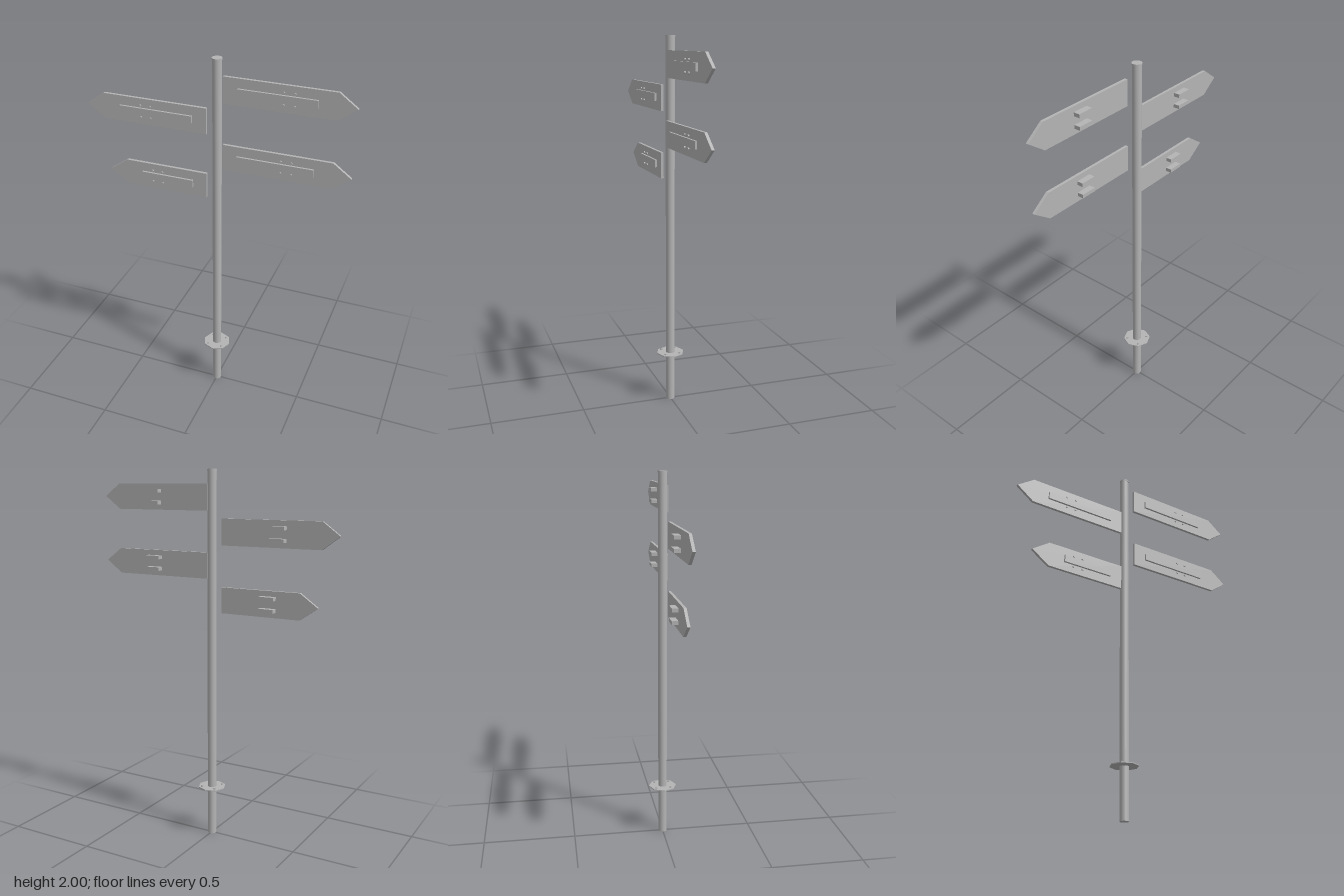
import * as THREE from 'three';

const steel = new THREE.MeshStandardMaterial({ color: 0xb4b4b4 });
steel.name = 'grey steel';

function part(parent, name, geometry, x = 0, y = 0, z = 0) {
  const mesh = new THREE.Mesh(geometry, steel);
  mesh.name = name;
  mesh.position.set(x, y, z);
  parent.add(mesh);
  return mesh;
}

const HALF = 0.069;             // half height of a sign board
const BACK = 0.022, FACE = 0.037; // board back and front in z

// One arrow sign; side is +1 or -1, lengths are measured out from the pole
function sign({ side, y, shoulder, tip, panelEnd, bolts }) {
  const group = new THREE.Group();
  group.name = side > 0 ? 'leftSign' : 'rightSign';
  group.position.y = y;

  // arrow board
  const outline = [[0.044, -HALF], [shoulder, -HALF], [tip, 0], [shoulder, HALF], [0.044, HALF]];
  const shape = new THREE.Shape(outline.map(([x, v]) => new THREE.Vector2(side * x, v)));
  const board = new THREE.ExtrudeGeometry(shape, { depth: FACE - BACK, bevelEnabled: false });
  part(group, 'arrowBoard', board, 0, 0, BACK);

  // raised name panel
  const start = 0.118;
  part(group, 'raisedPanel', new THREE.BoxGeometry(panelEnd - start, 0.04, 0.011),
    side * (start + panelEnd) / 2, 0, FACE + 0.0055);

  // back brackets with two bolt heads each on the front
  for (const v of [-0.031, 0.031]) {
    part(group, 'backBracket', new THREE.BoxGeometry(0.084, 0.019, 0.033), side * bolts, v, 0.0055);
    for (const u of [-0.027, 0.027]) {
      const head = new THREE.CylinderGeometry(0.006, 0.006, 0.007, 8);
      part(group, 'boltHead', head, side * bolts + u, v, FACE + 0.0035).rotation.x = Math.PI / 2;
    }
  }
  return group;
}

export function createModel() {
  const model = new THREE.Group();
  model.name = 'signpost';

  // pole and cap
  part(model, 'pole', new THREE.CylinderGeometry(0.024, 0.024, 1.992, 20), 0, 0.996, 0);
  part(model, 'poleCap', new THREE.CylinderGeometry(0.026, 0.026, 0.008, 20), 0, 1.996, 0);

  // octagonal ground flange with four bolts
  part(model, 'groundFlange', new THREE.CylinderGeometry(0.076, 0.076, 0.005, 8).toNonIndexed(), 0, 0.276, 0)
    .geometry.computeVertexNormals();
  for (const x of [-0.04, 0.04]) {
    for (const z of [-0.04, 0.04]) {
      part(model, 'flangeBolt', new THREE.CylinderGeometry(0.006, 0.006, 0.008, 8), x, 0.282, z);
    }
  }

  // four signs, alternating sides
  const long = { shoulder: 0.603, tip: 0.697, panelEnd: 0.512, bolts: 0.372 };
  const short = { shoulder: 0.493, tip: 0.592, panelEnd: 0.403, bolts: 0.319 };
  model.add(
    sign({ side: 1, y: 1.857, ...long }),
    sign({ side: -1, y: 1.681, ...long }),
    sign({ side: 1, y: 1.502, ...long }),
    sign({ side: -1, y: 1.324, ...short }),
  );
  return model;
}
